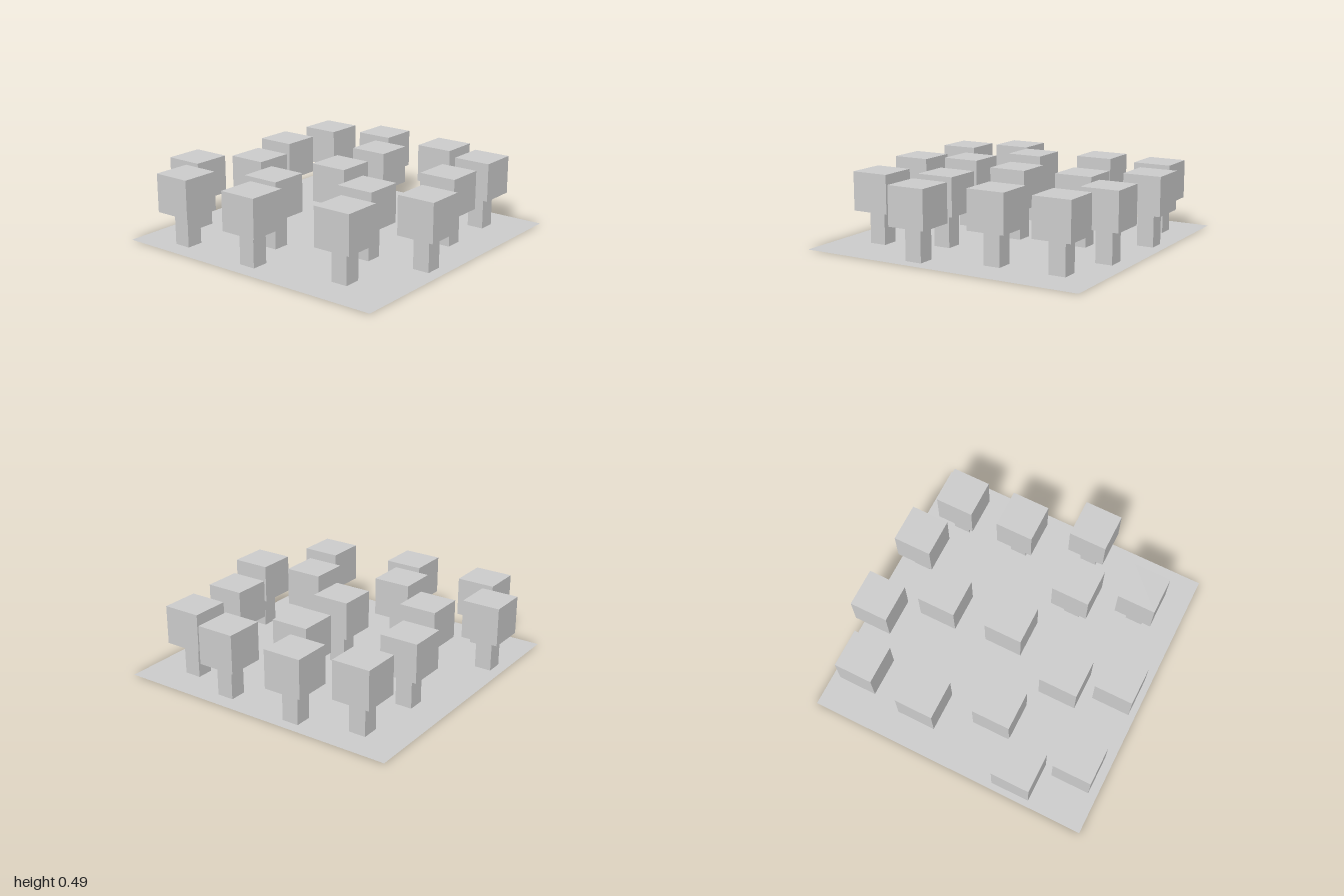
import * as THREE from 'three';

const CROWN = 0.265, TRUNK = 0.117, TRUNK_H = 0.228;

// tree positions on the ground [x, z]
const TREES = [
  [-0.68, -0.75], [-0.26, -0.867], [0.29, -0.835], [0.677, -0.715],
  [-0.028, -0.485], [-0.717, -0.285], [0.695, -0.265], [0, -0.002],
  [-0.558, 0.192], [0.438, 0.282], [0.855, 0.214], [-0.867, 0.485],
  [-0.172, 0.485], [-0.648, 0.813], [-0.053, 0.827], [0.585, 0.698],
];

export function createModel() {
  const model = new THREE.Group();
  model.name = 'blockForest';
  const material = new THREE.MeshStandardMaterial({ color: 0xcccccc, flatShading: true });
  const groundMaterial = material.clone();
  groundMaterial.side = THREE.DoubleSide;

  // flat square ground
  const ground = new THREE.Mesh(new THREE.PlaneGeometry(2, 2).rotateX(-Math.PI / 2), groundMaterial);
  ground.name = 'ground';
  model.add(ground);

  // each tree: square trunk under a cube crown
  const trunkGeometry = new THREE.BoxGeometry(TRUNK, TRUNK_H, TRUNK).translate(0, TRUNK_H / 2, 0);
  const crownGeometry = new THREE.BoxGeometry(CROWN, CROWN, CROWN).translate(0, TRUNK_H + CROWN / 2, 0);
  TREES.forEach(([x, z], i) => {
    const tree = new THREE.Group();
    tree.name = `tree${i + 1}`;
    const trunk = new THREE.Mesh(trunkGeometry, material);
    trunk.name = 'trunk';
    const crown = new THREE.Mesh(crownGeometry, material);
    crown.name = 'crown';
    tree.add(trunk, crown);
    tree.position.set(x, 0, z);
    model.add(tree);
  });
  return model;
}
